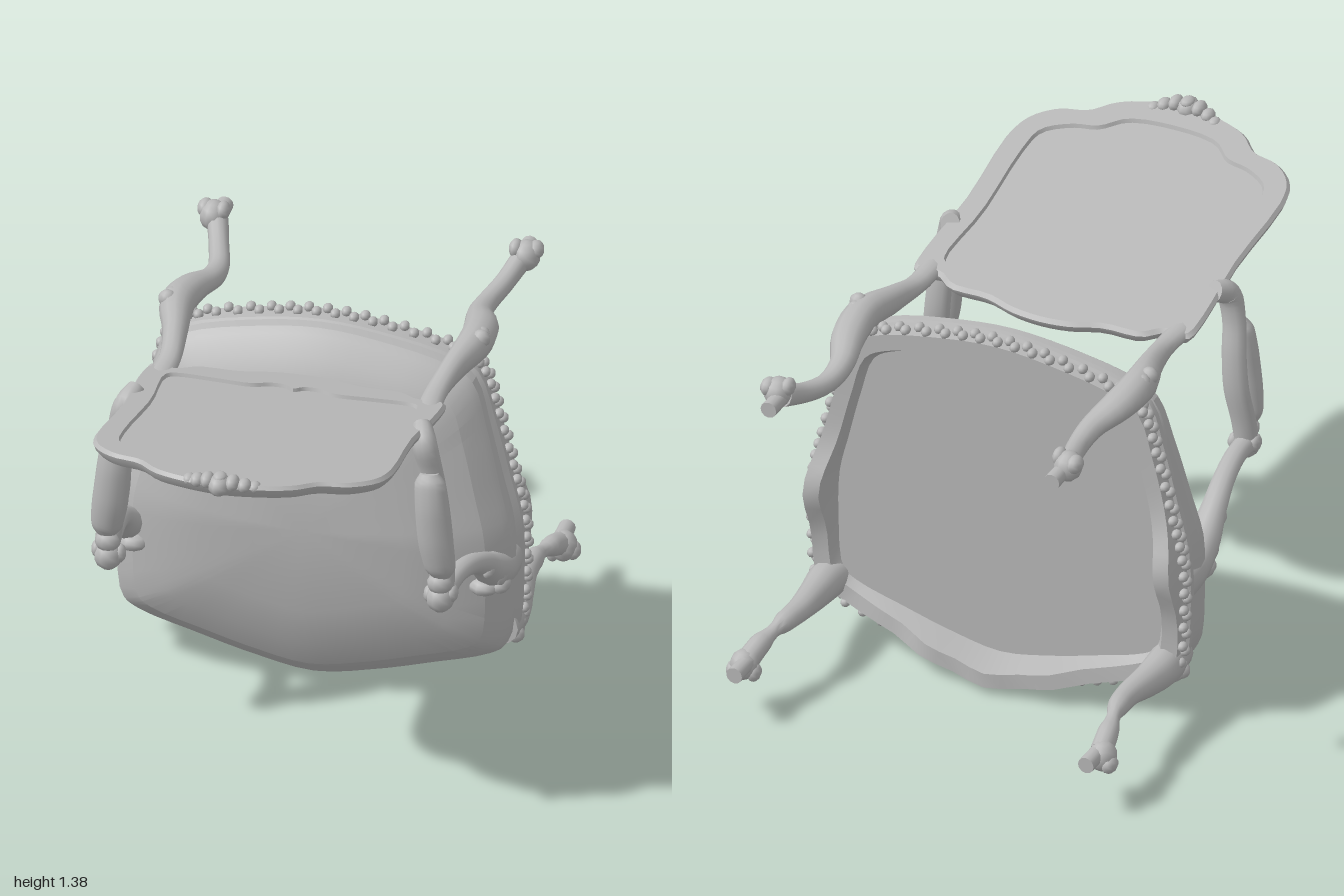
import * as THREE from 'three';
import { mergeGeometries, toCreasedNormals } from 'three/addons/utils/BufferGeometryUtils.js';

const grey = new THREE.MeshStandardMaterial({ color: 0xb8b8b8 });
grey.name = 'plain grey';
const V = (x, y, z) => new THREE.Vector3(x, y, z);

// Skin a list of equal rings of points
function loft(rings, crease = 0.6) {
  const n = rings[0].length, pos = [], idx = [];
  rings.forEach(r => r.forEach(p => pos.push(p.x, p.y, p.z)));
  for (let i = 0; i < rings.length - 1; i++) for (let j = 0; j < n; j++) {
    const a = i * n + j, b = i * n + (j + 1) % n;
    idx.push(a, b, a + n, b, b + n, a + n);
  }
  const g = new THREE.BufferGeometry();
  g.setAttribute('position', new THREE.Float32BufferAttribute(pos, 3));
  g.setIndex(idx);
  return toCreasedNormals(g, crease);
}

// Oval section swept along stations [x, y, z, half width, half height]; s mirrors x
function sweep(stations, s, side = V(1, 0, 0), steps = 28, sides = 12) {
  const path = new THREE.CatmullRomCurve3(stations.map(p => V(p[0] * s, p[1], p[2])));
  const size = new THREE.CatmullRomCurve3(stations.map(p => V(p[3], p[4], 0)));
  const rings = [];
  for (let i = 0; i <= steps; i++) {
    const c = path.getPoint(i / steps), t = path.getTangent(i / steps), r = size.getPoint(i / steps);
    const n = side.clone().addScaledVector(t, -side.dot(t)).normalize(), b = t.clone().cross(n);
    const ring = [];
    for (let j = 0; j < sides; j++) {
      const a = j / sides * Math.PI * 2;
      ring.push(c.clone().addScaledVector(n, Math.cos(a) * r.x).addScaledVector(b, Math.sin(a) * r.y));
    }
    if (i === 0) rings.push(ring.map(() => c));
    rings.push(ring);
    if (i === steps) rings.push(ring.map(() => c));
  }
  return loft(rings, 0.8);
}

// Counter-clockwise symmetric outline from its right half
function outline(half, count) {
  const left = half.slice(1, -1).reverse().map(([x, y]) => [-x, y]);
  const pts = [...half, ...left].map(([x, y]) => V(x, y, 0));
  return new THREE.CatmullRomCurve3(pts, true, 'centripetal').getPoints(count).slice(0, -1);
}

// Lumps [x, y, z, rx, ry, rz] for carving
function lumps(list, s = 1) {
  return mergeGeometries(list.map(([x, y, z, a, b, c]) =>
    new THREE.SphereGeometry(1, 10, 7).scale(a, b, c).translate(x * s, y, z)));
}

export function createModel() {
  const model = new THREE.Group();
  const add = (name, geo) => {
    const m = new THREE.Mesh(geo, grey);
    m.name = name;
    model.add(m);
  };

  // Seat: hollow underside, scalloped apron, rim
  const seat = outline([[0, 0.015], [0.2, 0.05], [0.38, 0.1], [0.57, 0.16], [0.62, 0.2], [0.64, 0.4],
    [0.635, 0.6], [0.6, 0.75], [0.55, 0.95], [0.5, 1.1], [0.42, 1.15], [0.2, 1.2], [0, 1.22]], 80);
  const apron = p => {
    if (p.y < 0.2) return -0.4 - 0.075 * Math.max(0, 1 - (p.x / 0.45) ** 2) - 0.008 * Math.cos(p.x * 28);
    return -0.4 - (Math.abs(p.x) > 0.5 ? 0.07 * Math.exp(-(((p.y - 0.56) / 0.13) ** 2)) : 0);
  };
  const seatRing = (s, z) => seat.map(p => {
    const y = 0.6 + (p.y - 0.6) * s;
    const depth = z === null ? apron(p) : z;
    return V(p.x * s, y, depth);
  });
  add('seatFrame', loft([
    seatRing(0, -0.365), seatRing(0.87, -0.365), seatRing(0.9, null), seatRing(0.985, null),
    seatRing(0.985, -0.34), seatRing(1, -0.335), seatRing(1, -0.315), seatRing(0.97, -0.3), seatRing(0.9, -0.3)]));

  // Seat cushion, domed and sloping away toward the back
  const cushionRing = (s, z) => seatRing(s, z).map(p =>
    V(p.x, p.y, p.z - 0.06 * Math.max(0, (p.y - 0.6) / 0.6) * (z > -0.28 ? 1 : 0)));
  add('seatCushion', loft([
    cushionRing(0.97, -0.31), cushionRing(0.99, -0.25), cushionRing(0.985, -0.215), cushionRing(0.96, -0.195),
    cushionRing(0.88, -0.15), cushionRing(0.72, -0.105), cushionRing(0.5, -0.08), cushionRing(0.25, -0.07),
    cushionRing(0, -0.068)], 0.3));

  // Carved beading around the rail
  const beads = [];
  seat.forEach((p, i) => {
    const q = seat[(i + 1) % seat.length];
    [0, 0.5].forEach(t => beads.push([p.x + (q.x - p.x) * t, p.y + (q.y - p.y) * t,
      t ? -0.36 : -0.385, 0.016, 0.016, 0.02]));
  });
  add('railCarving', lumps(beads));

  // Backrest: recessed rear panel, moulded frame and front cushion
  const back = outline([[0, -0.095], [0.1, -0.085], [0.2, -0.055], [0.33, -0.05], [0.39, -0.01], [0.47, -0.01],
    [0.482, 0.08], [0.465, 0.35], [0.475, 0.66], [0.45, 0.75], [0.38, 0.815], [0.29, 0.84], [0.22, 0.905],
    [0.12, 0.945], [0, 0.965]], 88);
  const place = (x, z, d) => V(x, 1.165 + 0.183 * z - d, z);
  const backRing = (s, d) => back.map(p => place(p.x * s, 0.44 + (p.y - 0.44) * s, d));
  // Inner panel has its own outline with a notched lower edge
  const inner = outline([[0, 0.05], [0.03, 0.025], [0.08, 0.025], [0.13, 0.05], [0.25, 0.045], [0.38, 0.045], [0.4, 0.07],
    [0.385, 0.3], [0.395, 0.6], [0.38, 0.7], [0.3, 0.755], [0.22, 0.775], [0.15, 0.835], [0, 0.855]], 88);
  const innerRing = (s, d) => inner.map(p => place(p.x * s, 0.44 + (p.y - 0.44) * s, d));
  add('backrestFrame', loft([
    innerRing(0, 0.012), innerRing(1, 0.012), innerRing(1.01, 0), backRing(0.98, 0), backRing(1, 0.012),
    backRing(0.99, 0.026), backRing(0.96, 0.045), backRing(0.9, 0.04), innerRing(0.98, 0.035)]));
  add('backrestCushion', loft([
    innerRing(1, 0.03), innerRing(0.99, 0.05), innerRing(0.93, 0.075), innerRing(0.75, 0.098),
    innerRing(0.4, 0.11), innerRing(0, 0.112)], 0.3));

  // Crest shell on the backrest
  const crest = [[0, 1.335, 0.955, 0.035, 0.035, 0.045], [0, 1.36, 0.95, 0.022, 0.015, 0.03]];
  [-1, 1].forEach(s => crest.push([s * 0.04, 1.345, 0.95, 0.022, 0.025, 0.035],
    [s * 0.075, 1.335, 0.94, 0.022, 0.022, 0.03], [s * 0.105, 1.325, 0.925, 0.02, 0.018, 0.025]));
  add('crestCarving', lumps(crest));

  [[1, 'left'], [-1, 'right']].forEach(([s, name]) => {
    // Rear leg running on from the backrest stile
    add(name + 'RearLeg', sweep([
      [0.43, 1.15, 0.06, 0.04, 0.022], [0.425, 1.152, -0.08, 0.036, 0.026], [0.445, 1.165, -0.22, 0.04, 0.045],
      [0.475, 1.178, -0.36, 0.055, 0.055], [0.465, 1.17, -0.48, 0.055, 0.045], [0.43, 1.145, -0.6, 0.04, 0.034],
      [0.43, 1.132, -0.7, 0.034, 0.032], [0.455, 1.145, -0.8, 0.032, 0.032], [0.485, 1.18, -0.9, 0.034, 0.038]], s));

    // Front leg
    add(name + 'FrontLeg', sweep([
      [0.57, 0.215, -0.3, 0.06, 0.06], [0.58, 0.212, -0.4, 0.06, 0.062], [0.575, 0.215, -0.5, 0.05, 0.052],
      [0.567, 0.228, -0.62, 0.04, 0.038], [0.575, 0.232, -0.72, 0.034, 0.034], [0.597, 0.215, -0.82, 0.034, 0.034],
      [0.61, 0.185, -0.9, 0.036, 0.038]], s));

    // Scrolled feet with round pegs
    [['Rear', 0.487, 1.18, 0.012], ['Front', 0.605, 0.187, -0.012]].forEach(([end, x, y, lift]) => {
      add(name + end + 'Foot', lumps([[x + 0.012, y + lift, -0.905, 0.045, 0.05, 0.05],
        [x + 0.04, y + lift * 2.5, -0.915, 0.026, 0.03, 0.035], [x - 0.02, y + lift * 3, -0.9, 0.022, 0.03, 0.032]], s));
      add(name + end + 'Peg', new THREE.CylinderGeometry(0.027, 0.027, 0.12, 12)
        .rotateX(Math.PI / 2).translate(x * s, y, -0.94));
    });

    // Knee carving
    const knees = [];
    for (let i = 0; i < 6; i++) {
      const z = -0.34 - i * 0.035, r = 0.03 - i * 0.003;
      knees.push([0.5 - i * 0.006, 1.208 - i * 0.006, z, r, r, 0.026],
        [0.61 - i * 0.005, 0.175 + i * 0.004, z, r, r, 0.026]);
    }
    add(name + 'KneeCarving', lumps(knees, s));

    // Arm from backrest to the hand scroll
    add(name + 'Arm', sweep([
      [0.455, 1.2, 0.21, 0.03, 0.035], [0.475, 1.17, 0.265, 0.04, 0.038], [0.495, 1.08, 0.265, 0.04, 0.027],
      [0.505, 0.97, 0.245, 0.042, 0.026], [0.515, 0.85, 0.24, 0.044, 0.026], [0.53, 0.73, 0.26, 0.042, 0.03],
      [0.535, 0.64, 0.275, 0.038, 0.036]], s));
    add(name + 'ArmPad', sweep([
      [0.497, 1.075, 0.285, 0.03, 0.02], [0.5, 1.04, 0.29, 0.05, 0.035], [0.508, 0.95, 0.295, 0.055, 0.044],
      [0.518, 0.85, 0.295, 0.057, 0.044], [0.532, 0.75, 0.29, 0.05, 0.035], [0.535, 0.715, 0.285, 0.03, 0.02]], s));
    add(name + 'HandScroll', lumps([[0.53, 0.635, 0.28, 0.045, 0.048, 0.045], [0.495, 0.64, 0.27, 0.02, 0.03, 0.03],
      [0.565, 0.65, 0.27, 0.02, 0.03, 0.03], [0.53, 0.69, 0.29, 0.04, 0.035, 0.03]], s));

    // Curved arm support down to the seat rail
    add(name + 'ArmSupport', sweep([
      [0.535, 0.64, 0.28, 0.036, 0.036], [0.545, 0.65, 0.17, 0.034, 0.028], [0.56, 0.63, 0.06, 0.036, 0.03],
      [0.575, 0.585, -0.04, 0.042, 0.036], [0.582, 0.52, -0.13, 0.055, 0.052], [0.59, 0.475, -0.22, 0.055, 0.06],
      [0.6, 0.46, -0.34, 0.04, 0.07]], s));
    add(name + 'SupportCarving', lumps([[0.56, 0.445, -0.15, 0.05, 0.03, 0.05], [0.61, 0.45, -0.17, 0.03, 0.03, 0.05],
      [0.615, 0.5, -0.15, 0.022, 0.04, 0.05], [0.6, 0.56, -0.06, 0.02, 0.025, 0.05]], s));
  });
  return model;
}
